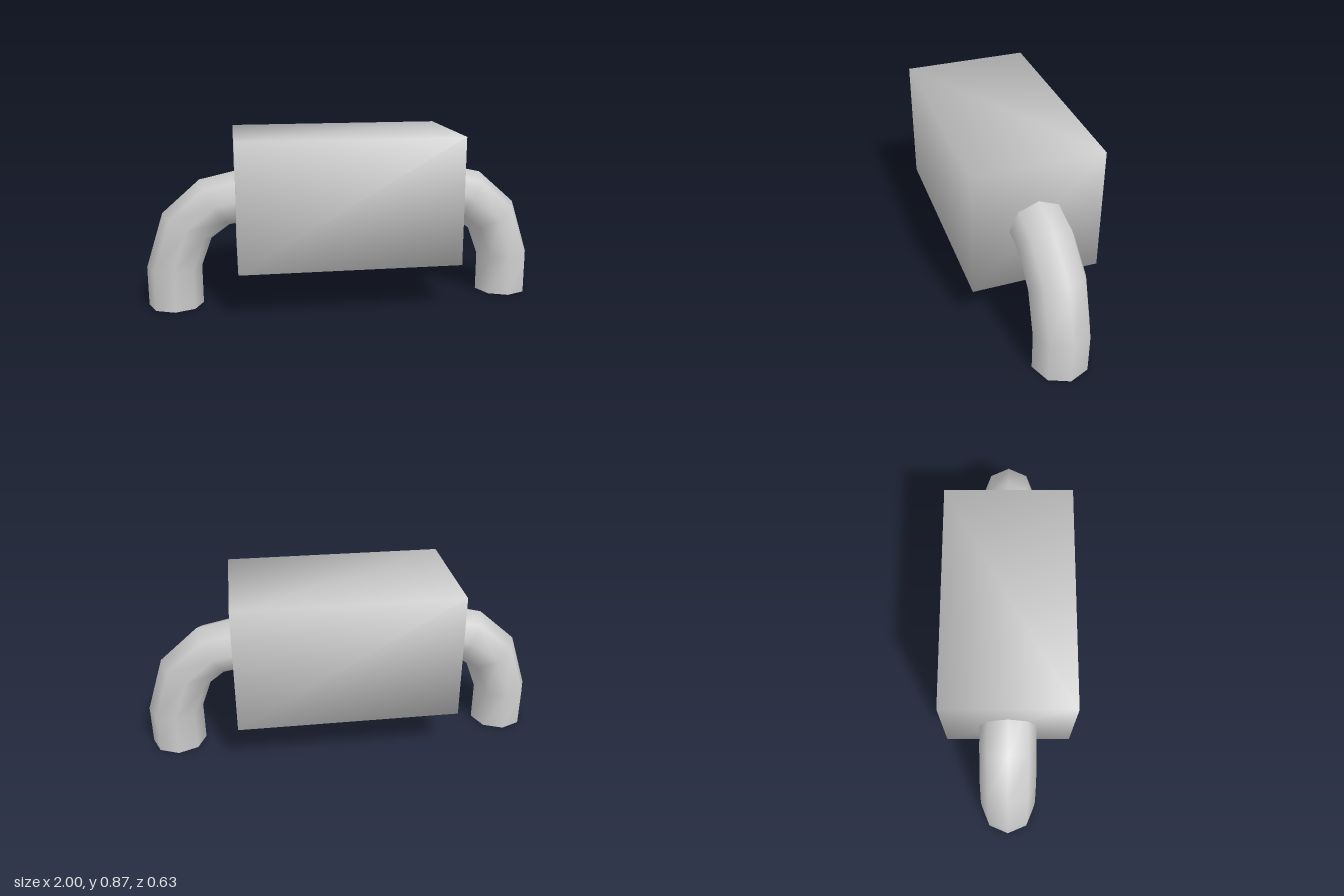
import * as THREE from 'three';
import { mergeVertices } from 'three/addons/utils/BufferGeometryUtils.js';

// Eight-sided bent tube: each section is [x, y, tilt in degrees]
function bentTube(sections, radius, sides) {
  const positions = [], index = [];
  sections.forEach(([x, y, tilt], i) => {
    const t = THREE.MathUtils.degToRad(tilt);
    for (let j = 0; j < sides; j++) {
      const a = (j / sides) * Math.PI * 2;
      const out = radius * Math.cos(a);
      positions.push(x + out * Math.cos(t), y + out * Math.sin(t), radius * Math.sin(a));
      if (i === 0) continue;
      const k = (j + 1) % sides, lo = (i - 1) * sides, hi = i * sides;
      index.push(lo + j, hi + j, lo + k, lo + k, hi + j, hi + k);
    }
  });
  const geometry = new THREE.BufferGeometry();
  geometry.setAttribute('position', new THREE.Float32BufferAttribute(positions, 3));
  geometry.setIndex(index);
  geometry.computeVertexNormals();
  return geometry;
}

// Box whose corners are shared, so shading runs smoothly over its edges
function smoothBox(w, h, d) {
  const box = new THREE.BoxGeometry(w, h, d);
  box.deleteAttribute('normal');
  box.deleteAttribute('uv');
  const geometry = mergeVertices(box);
  geometry.computeVertexNormals();
  return geometry;
}

export function createModel() {
  const model = new THREE.Group();
  model.name = 'boxWithBentPipes';
  const grey = new THREE.MeshStandardMaterial({ color: 0xcccccc, side: THREE.DoubleSide });
  grey.name = 'light grey';

  // Central box
  const body = new THREE.Mesh(smoothBox(1.096, 0.636, 0.628), grey);
  body.name = 'body';
  body.position.y = 0.554;
  model.add(body);

  // Open pipes that curve out of both ends and down to the ground
  const pipe = bentTube(
    [[0.863, 0, 0], [0.863, 0.2, 0], [0.792, 0.41, 30], [0.652, 0.526, 59], [0.46, 0.565, 90]],
    0.137, 8);
  for (const [name, turn] of [['leftPipe', 0], ['rightPipe', Math.PI]]) {
    const mesh = new THREE.Mesh(pipe, grey);
    mesh.name = name;
    mesh.rotation.y = turn;
    model.add(mesh);
  }
  return model;
}
